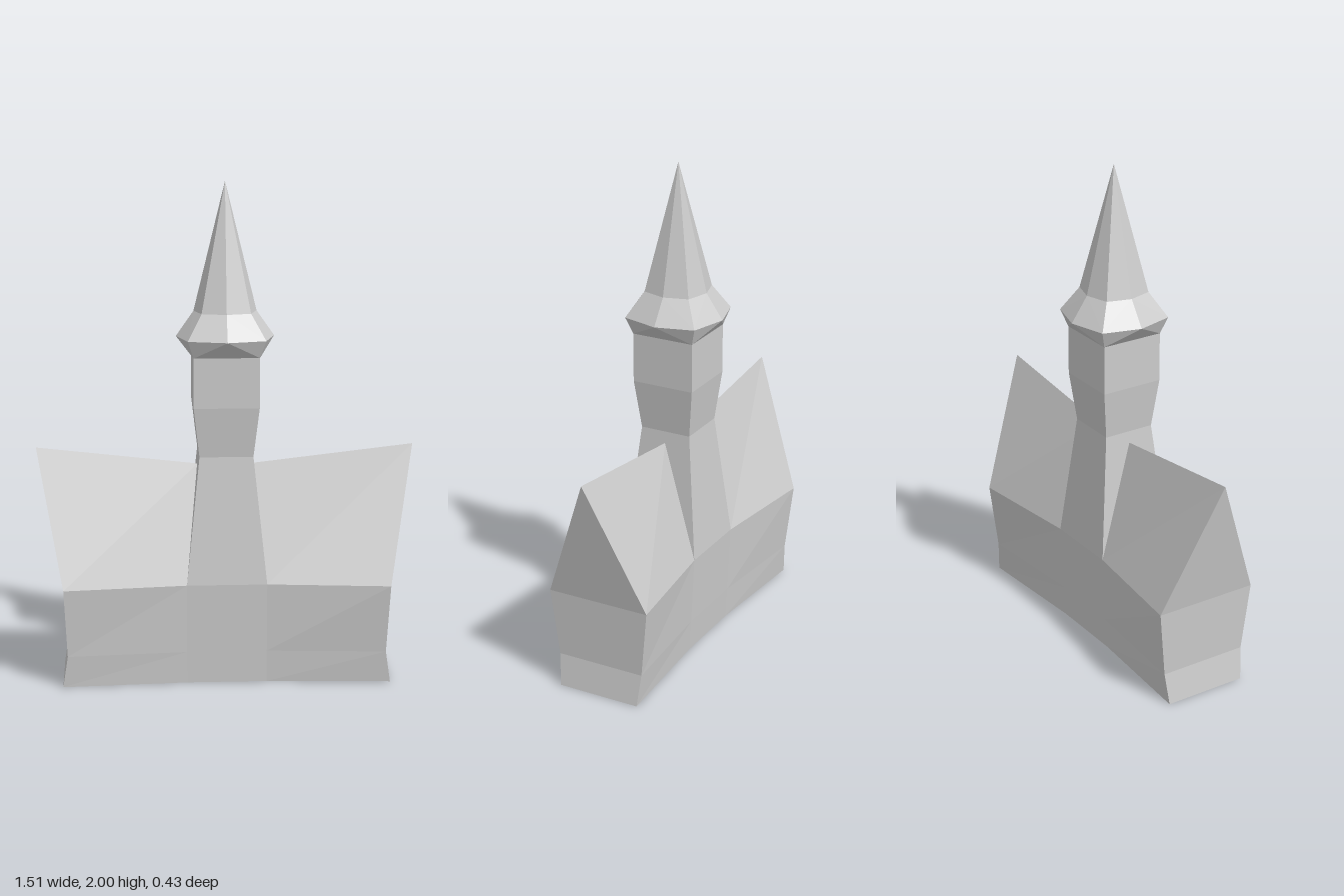
import * as THREE from 'three';

const material = new THREE.MeshStandardMaterial({
  color: 0xcccccc, flatShading: true, side: THREE.DoubleSide,
});

// Collects triangles and quads (corners counter-clockwise from outside)
function makeMesh(name, build) {
  const pos = [];
  const tri = (a, b, c) => pos.push(...a, ...b, ...c);
  const quad = (a, b, c, d) => { tri(a, b, c); tri(a, c, d); };
  build(tri, quad);
  const geo = new THREE.BufferGeometry();
  geo.setAttribute('position', new THREE.Float32BufferAttribute(pos, 3));
  geo.computeVertexNormals();
  const mesh = new THREE.Mesh(geo, material);
  mesh.name = name;
  return mesh;
}

const flipZ = ([x, y, z]) => [x, y, -z];

// Wing of the hall: flared walls, steep roof and gable, open underneath
function makeWing(name) {
  const outer = [[0.657, 0, 0.172], [0.637, 0.13, 0.184], [0.65, 0.41, 0.215], [0.755, 0.945, 0]];
  const inner = [[0.16, 0, 0.14], [0.16, 0.13, 0.147], [0.16, 0.41, 0.16], [0.11, 0.872, 0]];
  return makeMesh(name, (tri, quad) => {
    for (let i = 0; i < 3; i++) {
      const side = [inner[i], outer[i], outer[i + 1], inner[i + 1]];
      quad(...side);
      quad(...side.map(flipZ).reverse());
      if (i < 2) quad(outer[i], flipZ(outer[i]), flipZ(outer[i + 1]), outer[i + 1]);
      else tri(outer[i], flipZ(outer[i]), outer[i + 1]);
    }
  });
}

// Square tower; below the eaves only its front and back walls exist
function makeTower() {
  const levels = [ // y, half width, half depth
    [0, 0.16, 0.14], [0.13, 0.16, 0.147], [0.41, 0.16, 0.16],
    [0.92, 0.107, 0.107], [1.12, 0.13, 0.13], [1.32, 0.13, 0.13],
  ];
  const corners = ([y, w, d]) => [[-w, y, d], [w, y, d], [w, y, -d], [-w, y, -d]];
  return makeMesh('tower', (tri, quad) => {
    for (let i = 0; i < levels.length - 1; i++) {
      const lo = corners(levels[i]), hi = corners(levels[i + 1]);
      for (let k = 0; k < 4; k++) {
        if (i < 2 && k % 2) continue;
        const n = (k + 1) % 4;
        quad(lo[k], lo[n], hi[n], hi[k]);
      }
    }
  });
}

// Eight-sided spire whose underside blends into the square tower
function makeSpire() {
  const levels = [ // y, reach along the axes, x and z of the diagonal corners
    [1.32, 0.13, 0.13], [1.39, 0.195, 0.153], [1.49, 0.125, 0.097],
  ];
  const ring = ([y, a, d]) => [
    [0, y, a], [d, y, d], [a, y, 0], [d, y, -d],
    [0, y, -a], [-d, y, -d], [-a, y, 0], [-d, y, d],
  ];
  const rings = levels.map(ring);
  const apex = [0, 2, 0];
  return makeMesh('spire', (tri) => {
    for (let k = 0; k < 8; k++) {
      const n = (k + 1) % 8;
      for (let i = 0; i < 2; i++) {
        const lo = rings[i], hi = rings[i + 1];
        if (k % 2 === 0) {
          tri(lo[k], lo[n], hi[k]);
          tri(lo[n], hi[n], hi[k]);
        } else {
          tri(lo[k], lo[n], hi[n]);
          tri(lo[k], hi[n], hi[k]);
        }
      }
      tri(rings[2][k], rings[2][n], apex);
    }
  });
}

export function createModel() {
  const group = new THREE.Group();
  group.name = 'church';
  const leftWing = makeWing('leftWing');
  const rightWing = makeWing('rightWing');
  rightWing.rotation.y = Math.PI;
  group.add(leftWing, rightWing, makeTower(), makeSpire());
  return group;
}
